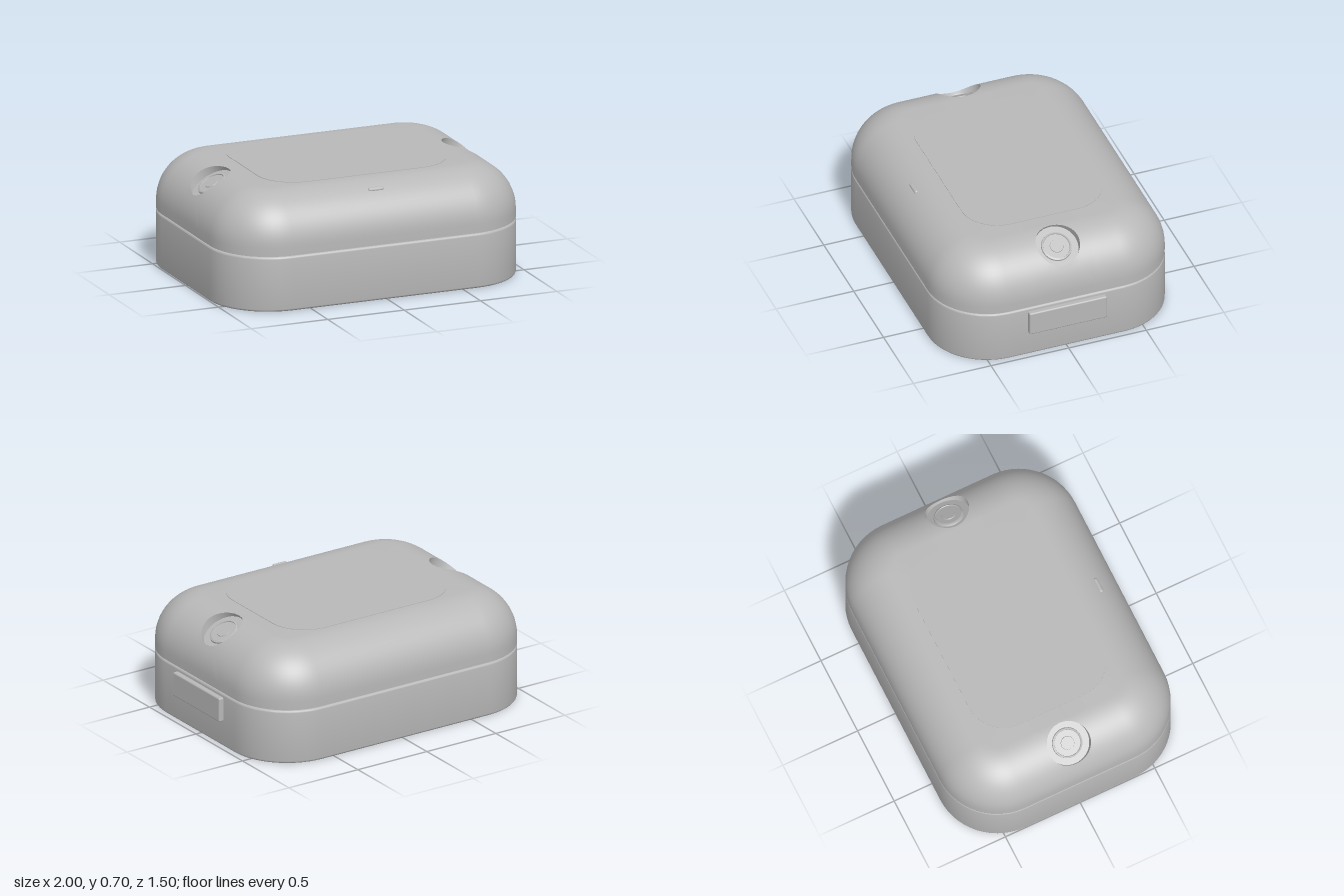
import * as THREE from 'three';
import { toCreasedNormals } from 'three/addons/utils/BufferGeometryUtils.js';
import { RoundedBoxGeometry } from 'three/addons/geometries/RoundedBoxGeometry.js';

const HX = 0.985, HZ = 0.75, CORNER = 0.38;   // plan of the case
const FILLET = 0.3, TOP = 0.7, ARC_Y = TOP - FILLET;
const ARC_X = HX - FILLET;
const ROWS = 16, SIDE = 8, STEPS = 14, PATCH_Z = 0.2;
const TILT = Math.PI / 6, POCKET_R = 0.136, FLOOR = 0.247;

// Rounded-rectangle outline as anchor points with outward directions
function makeOutline() {
  const pts = [], cx = HX - CORNER, cz = HZ - CORNER;
  const side = (s) => {
    for (let i = 0; i <= SIDE; i++) pts.push({ x: s * cx, z: s * PATCH_Z * (2 * i / SIDE - 1), nx: s, nz: 0 });
  };
  const corner = (sx, sz, start) => {
    for (let i = 0; i <= STEPS; i++) {
      const a = (start + i / STEPS) * Math.PI / 2;
      pts.push({ x: sx * cx, z: sz * cz, nx: Math.cos(a), nz: Math.sin(a) });
    }
  };
  side(1); corner(1, 1, 0); corner(-1, 1, 1);
  side(-1); corner(-1, -1, 2); corner(1, -1, 3);
  return pts;
}
const outline = makeOutline();
const LEFT = SIDE + 1 + 2 * (STEPS + 1);
const ringPoint = (p, inset, y) => [p.x + p.nx * (CORNER - inset), y, p.z + p.nz * (CORNER - inset)];

function fromTriangles(positions) {
  const g = new THREE.BufferGeometry();
  g.setAttribute('position', new THREE.Float32BufferAttribute(positions, 3));
  return toCreasedNormals(g, 0.56);
}

// Skin the outline down a list of [inset, y] rows, closing the top
function loft(rows, skip, out) {
  const n = outline.length;
  const at = (r, i) => ringPoint(outline[i % n], rows[r][0], rows[r][1]);
  for (let i = 0; i < n; i++) {
    out.push(0, rows[0][1], 0, ...at(0, i + 1), ...at(0, i));
    for (let r = 0; r + 1 < rows.length; r++) {
      if (skip(r, i)) continue;
      const u0 = at(r, i), u1 = at(r, i + 1), l0 = at(r + 1, i), l1 = at(r + 1, i + 1);
      out.push(...l0, ...u0, ...u1, ...l0, ...u1, ...l1);
    }
  }
}

// Part of the side fillet holding a round pocket; s = -1 turns it to the other side
function pocketPatch(s, out) {
  const border = [], half = Math.PI / 2;
  for (let i = 0; i < SIDE; i++) border.push([half, PATCH_Z * (2 * i / SIDE - 1)]);
  for (let i = 0; i < ROWS; i++) border.push([half * (1 - i / ROWS), PATCH_Z]);
  for (let i = 0; i < SIDE; i++) border.push([0, PATCH_Z * (1 - 2 * i / SIDE)]);
  for (let i = 0; i < ROWS; i++) border.push([half * i / ROWS, -PATCH_Z]);
  const surf = (phi, z) => [s * (ARC_X + FILLET * Math.sin(phi)), ARC_Y + FILLET * Math.cos(phi), s * z];
  const floor = (u, z) => [
    s * (ARC_X + FLOOR * Math.sin(TILT) + u * Math.cos(TILT)),
    ARC_Y + FLOOR * Math.cos(TILT) - u * Math.sin(TILT), s * z];
  const RINGS = 6;
  const columns = border.map(([phi, z]) => {
    const a = Math.atan2(z, (phi - TILT) * FILLET);
    const u = POCKET_R * Math.cos(a), v = POCKET_R * Math.sin(a);
    const rim = TILT + Math.asin(u / FILLET);
    const col = [floor(0, 0), floor(u, v)];
    for (let j = 0; j <= RINGS; j++) {
      const t = j / RINGS;
      col.push(surf(rim + (phi - rim) * t, v + (z - v) * t));
    }
    return col;
  });
  columns.forEach((c, k) => {
    const d = columns[(k + 1) % columns.length];
    for (let j = 0; j + 1 < c.length; j++) {
      out.push(...c[j], ...d[j + 1], ...c[j + 1]);
      if (j > 0) out.push(...c[j], ...d[j], ...d[j + 1]);
    }
  });
}

function lidGeometry() {
  const rows = [], out = [];
  for (let r = 0; r <= ROWS; r++) {
    const phi = r / ROWS * Math.PI / 2;
    rows.push([FILLET * (1 - Math.sin(phi)), ARC_Y + FILLET * Math.cos(phi)]);
  }
  rows.push([0, 0.349], [0.04, 0.349]);
  const inPatch = (i) => i < SIDE || (i >= LEFT && i < LEFT + SIDE);
  loft(rows, (r, i) => r < ROWS && inPatch(i), out);
  pocketPatch(1, out);
  pocketPatch(-1, out);
  return fromTriangles(out);
}

function baseGeometry() {
  const rows = [[0.03, 0.342]], out = [], b = 0.014;
  for (let i = 0; i <= 4; i++) {
    const a = i / 4 * Math.PI / 2;
    rows.push([b * (1 - Math.sin(a)), 0.342 - b * (1 - Math.cos(a))]);
  }
  for (let i = 0; i <= 4; i++) {
    const a = i / 4 * Math.PI / 2;
    rows.push([b * (1 - Math.cos(a)), b * (1 - Math.sin(a))]);
  }
  loft(rows, () => false, out);
  return fromTriangles(out);
}

function roundedRect(hx, hz, r) {
  const s = new THREE.Shape();
  s.absarc(hx - r, hz - r, r, 0, Math.PI / 2);
  s.absarc(-hx + r, hz - r, r, Math.PI / 2, Math.PI);
  s.absarc(-hx + r, -hz + r, r, Math.PI, Math.PI * 1.5);
  s.absarc(hx - r, -hz + r, r, Math.PI * 1.5, Math.PI * 2);
  s.closePath();
  return s;
}

export function createModel() {
  const model = new THREE.Group();
  model.name = 'roundedCase';
  model.position.x = -0.015;
  const grey = new THREE.MeshStandardMaterial({ color: 0xb8b8b8 });
  grey.name = 'plain grey';
  const add = (name, geometry, x = 0, y = 0, z = 0) => {
    const m = new THREE.Mesh(geometry, grey);
    m.name = name;
    m.position.set(x, y, z);
    model.add(m);
    return m;
  };

  add('lid', lidGeometry());
  add('baseShell', baseGeometry());
  // Narrow core closing the seam between lid and base
  const core = new THREE.ExtrudeGeometry(roundedRect(HX - 0.015, HZ - 0.015, CORNER - 0.015),
    { depth: 0.03, bevelEnabled: false, curveSegments: 14 });
  core.rotateX(-Math.PI / 2);
  add('seamCore', core, 0, 0.33, 0);

  // Faint panel on the flat top
  const panel = new THREE.ExtrudeGeometry(roundedRect(0.605, 0.445, 0.23),
    { depth: 0.003, bevelEnabled: false, curveSegments: 14 });
  panel.rotateX(-Math.PI / 2);
  add('topPanel', panel, 0, TOP, 0);

  // Underside with a long recess
  const slotX = 0.05, slotHX = 0.825, slotHZ = 0.187, slotH = 0.16;
  const under = roundedRect(HX - 0.014, HZ - 0.014, CORNER - 0.014);
  const hole = new THREE.Path();
  hole.moveTo(slotX - slotHX, -slotHZ);
  hole.lineTo(slotX - slotHX, slotHZ);
  hole.lineTo(slotX + slotHX, slotHZ);
  hole.lineTo(slotX + slotHX, -slotHZ);
  hole.closePath();
  under.holes.push(hole);
  const bottom = new THREE.ShapeGeometry(under, 14);
  bottom.rotateX(Math.PI / 2);
  add('underside', bottom);

  // Inward-facing recess walls and ceiling, open below
  const recess = new THREE.BoxGeometry(2 * slotHX, slotH, 2 * slotHZ);
  const idx = Array.from(recess.index.array);
  recess.setIndex(idx.filter((_, i) => i < 18 || i >= 24));
  recess.scale(-1, 1, 1);
  add('undersideRecess', toCreasedNormals(recess, 0.5), slotX, slotH / 2, 0);
  add('recessDisc', new THREE.CylinderGeometry(0.1, 0.1, 0.006, 40), slotX, slotH - 0.003, 0);

  // Side button
  add('sideButton', new RoundedBoxGeometry(0.06, 0.155, 0.5, 3, 0.01), HX, 0.24, 0);

  // Small pill on the front fillet
  const phi = 0.55;
  const pill = add('frontPill', new RoundedBoxGeometry(0.1, 0.028, 0.04, 3, 0.012),
    0, ARC_Y + 0.29 * Math.cos(phi), HZ - FILLET + 0.29 * Math.sin(phi));
  pill.rotation.x = phi - Math.PI / 2;

  // Stepped round knobs seated in the pockets
  const profile = [[0.094, 0], [0.092, 0.01], [0.082, 0.014], [0.08, 0.008], [0.042, 0.008], [0.04, 0.013], [0, 0.013]]
    .map(([r, y]) => new THREE.Vector2(r, y));
  const knob = toCreasedNormals(new THREE.LatheGeometry(profile, 40), 0.3);
  for (const [s, name] of [[1, 'leftKnob'], [-1, 'rightKnob']]) {
    const k = add(name, knob, s * (ARC_X + FLOOR * Math.sin(TILT)), ARC_Y + FLOOR * Math.cos(TILT), 0);
    k.rotation.z = -s * TILT;
  }
  return model;
}
